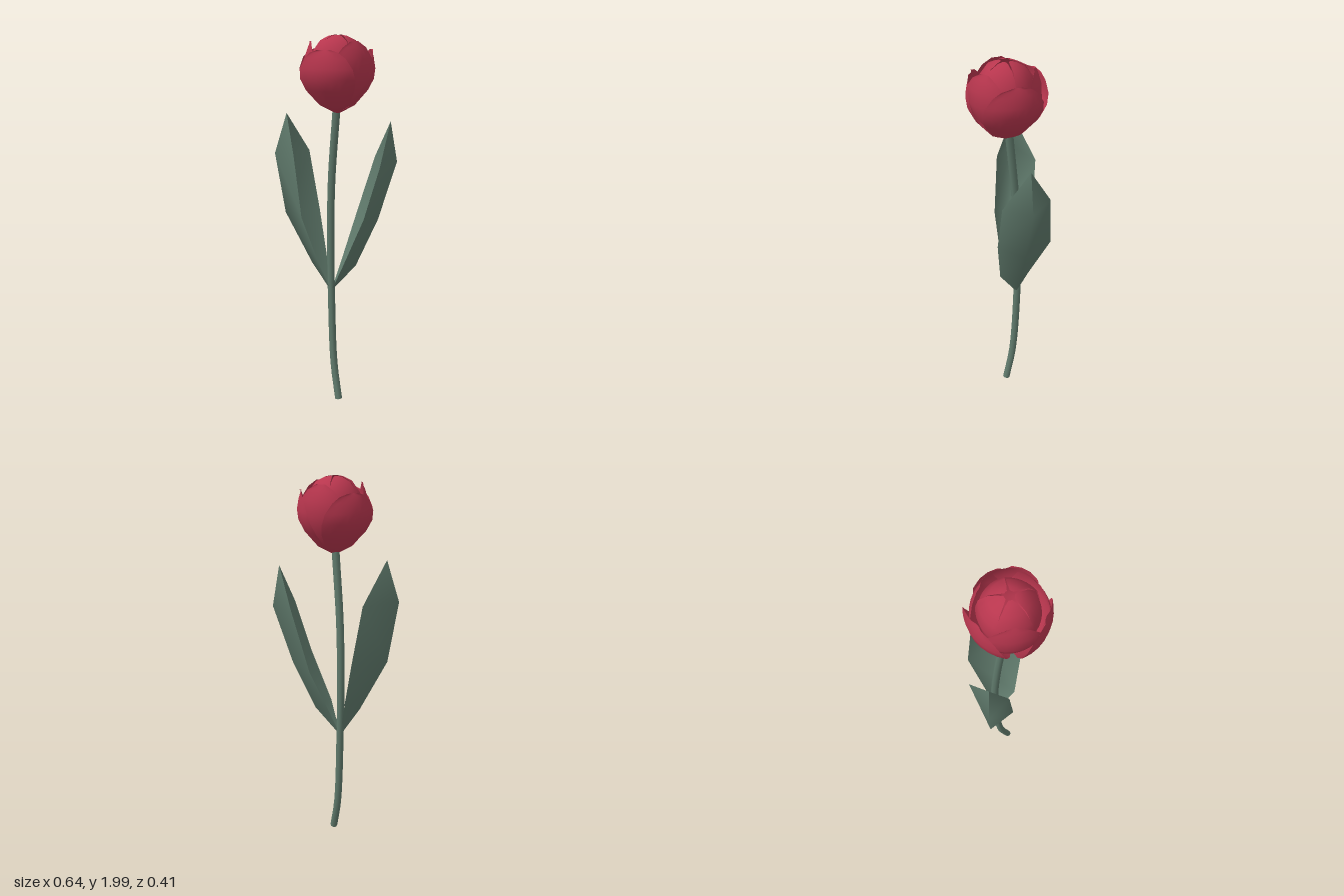
import * as THREE from 'three';

const red = new THREE.MeshStandardMaterial({ color: 0xb8364e, side: THREE.DoubleSide });
red.name = 'petal red';
const green = new THREE.MeshStandardMaterial({ color: 0x5f796b, side: THREE.DoubleSide });
green.name = 'leaf green';

// Smooth surface through rows of equally many points
function sheet(rows, material, name) {
  const cols = rows[0].length;
  const index = [];
  for (let i = 0; i < rows.length - 1; i++) {
    for (let j = 0; j < cols - 1; j++) {
      const a = i * cols + j, b = a + 1, c = a + cols, d = c + 1;
      index.push(a, c, b, b, c, d);
    }
  }
  const geometry = new THREE.BufferGeometry();
  geometry.setAttribute('position', new THREE.Float32BufferAttribute(rows.flat(2), 3));
  geometry.setIndex(index);
  geometry.computeVertexNormals();
  const mesh = new THREE.Mesh(geometry, material);
  mesh.name = name;
  return mesh;
}

// Petal rings: [radius, height, half angle in degrees]
const layers = [
  {
    name: 'outerPetal', count: 3, start: 106, flare: 0.06,
    rings: [[0.015, 1.622, 62], [0.085, 1.66, 60], [0.15, 1.735, 54], [0.178, 1.79, 50],
      [0.184, 1.84, 45], [0.175, 1.89, 35], [0.166, 1.917, 24], [0.16, 1.93, 10]],
  },
  {
    name: 'middlePetal', count: 3, start: 46, flare: 0.05,
    rings: [[0.014, 1.628, 62], [0.08, 1.67, 60], [0.14, 1.74, 56], [0.167, 1.82, 51],
      [0.163, 1.89, 42], [0.145, 1.94, 28], [0.13, 1.968, 10]],
  },
  {
    name: 'innerPetal', count: 5, start: 90, flare: 0.04,
    rings: [[0.016, 1.634, 40], [0.07, 1.68, 40], [0.122, 1.76, 40], [0.136, 1.85, 39],
      [0.122, 1.92, 37], [0.085, 1.972, 35], [0.045, 1.992, 32], [0.022, 1.997, 20]],
  },
];

function petal(layer, k) {
  const centre = layer.start + (k * 360) / layer.count;
  const rows = layer.rings.map(([r, y, half]) => {
    const row = [];
    for (let j = 0; j <= 8; j++) {
      const u = j / 4 - 1;
      const angle = THREE.MathUtils.degToRad(centre + u * half);
      // Edges flare outwards, one a little more so neighbours overlap
      const radius = r * (1 + layer.flare * u * u + 0.015 * u);
      row.push([0.018 + radius * Math.cos(angle), y, 0.018 + radius * Math.sin(angle)]);
    }
    return row;
  });
  return sheet(rows, red, layer.name);
}

// Leaf rows: back edge, midrib, front edge
const base = [-0.025, 0.635, -0.042];
const leftTip = [0.28, 1.57, -0.08];
const rightTip = [-0.255, 1.61, -0.035];
const leftLeaf = [
  [base, base, base],
  [[0.025, 0.8, -0.1], [0.11, 0.79, -0.045], [0.045, 0.8, 0.052]],
  [[0.1, 1.06, -0.207], [0.225, 1.05, -0.065], [0.16, 1.08, 0.07]],
  [[0.195, 1.37, -0.185], [0.317, 1.36, -0.09], [0.237, 1.35, 0.05]],
  [leftTip, leftTip, leftTip],
];
const rightLeaf = [
  [base, base, base],
  [[-0.06, 0.85, -0.095], [-0.13, 0.8, -0.04], [-0.08, 0.82, 0.04]],
  [[-0.1, 1.08, -0.13], [-0.27, 1.08, -0.035], [-0.165, 1.08, 0.068]],
  [[-0.157, 1.4, -0.147], [-0.32, 1.4, -0.03], [-0.205, 1.4, 0.05]],
  [rightTip, rightTip, rightTip],
];

function stem() {
  const group = new THREE.Group();
  group.name = 'stem';
  const curve = new THREE.CatmullRomCurve3([
    [0.026, 0.008, 0.02], [-0.006, 0.21, -0.02], [-0.024, 0.63, -0.045], [-0.028, 0.95, -0.048],
    [-0.02, 1.27, -0.032], [0.01, 1.64, 0.002],
  ].map((p) => new THREE.Vector3(...p)));
  const tube = new THREE.Mesh(new THREE.TubeGeometry(curve, 24, 0.02, 8), green);
  tube.name = 'stalk';
  group.add(tube);
  // Cut ends
  for (const t of [0, 1]) {
    const cap = new THREE.Mesh(new THREE.CircleGeometry(0.02, 8), green);
    cap.name = t ? 'stalkTop' : 'stalkCut';
    const end = curve.getPointAt(t);
    const out = curve.getTangentAt(t).multiplyScalar(t ? 1 : -1);
    cap.position.copy(end);
    cap.quaternion.setFromUnitVectors(new THREE.Vector3(0, 0, 1), out);
    group.add(cap);
  }
  return group;
}

export function createModel() {
  const model = new THREE.Group();
  model.name = 'flower';
  model.add(stem());
  model.add(sheet(leftLeaf, green, 'leftLeaf'), sheet(rightLeaf, green, 'rightLeaf'));

  // Blossom in three overlapping layers
  const blossom = new THREE.Group();
  blossom.name = 'blossom';
  for (const layer of layers) {
    for (let k = 0; k < layer.count; k++) blossom.add(petal(layer, k));
  }
  model.add(blossom);
  return model;
}
